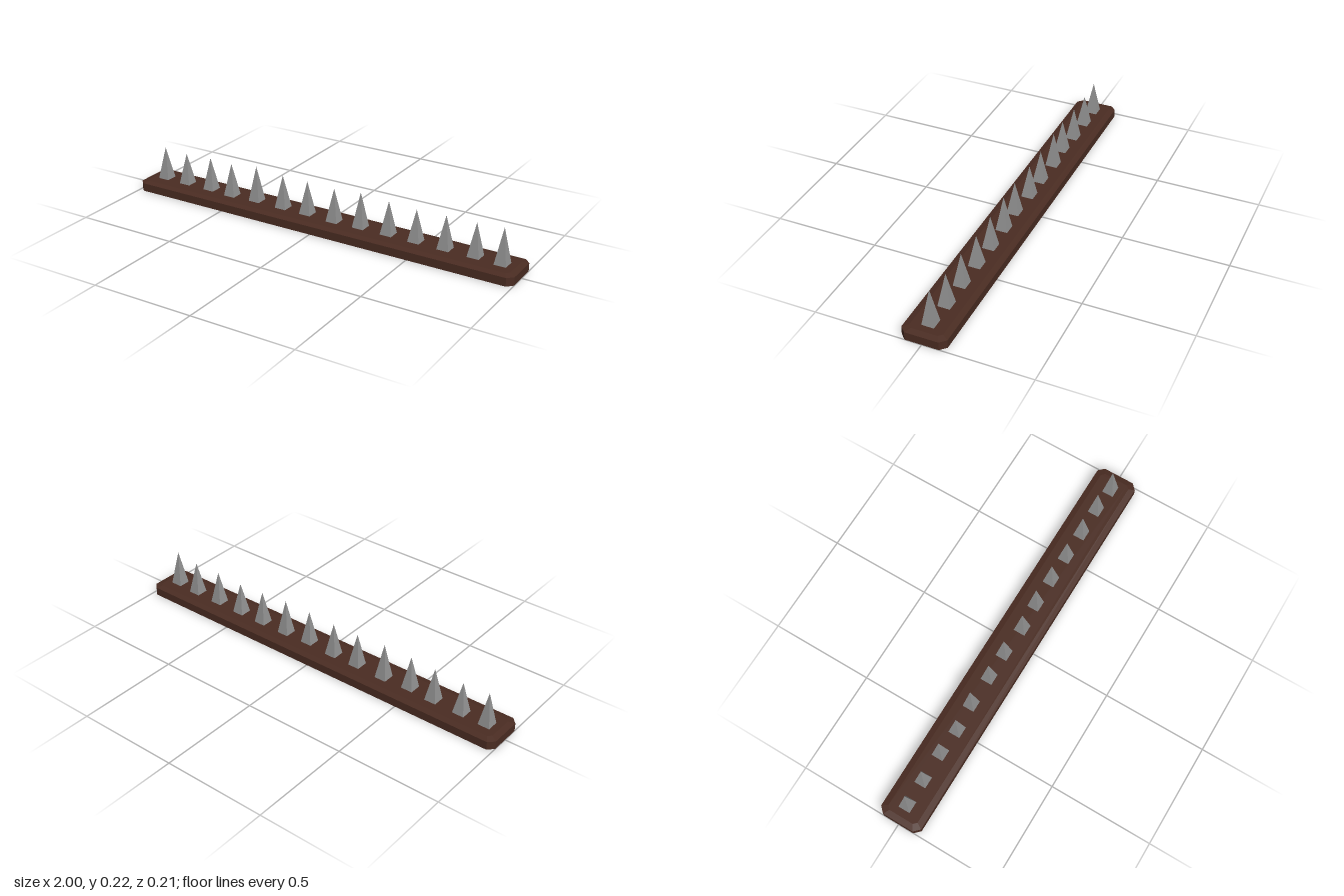
import * as THREE from 'three';

const wood = new THREE.MeshStandardMaterial({ color: 0x4a2c22, side: THREE.DoubleSide, flatShading: true });
wood.name = 'dark brown wood';
const metal = new THREE.MeshStandardMaterial({ color: 0x909090, side: THREE.DoubleSide, flatShading: true });
metal.name = 'grey metal';

// Octagonal outline: a rectangle with cut corners at height y
function ring(hx, hz, cut, y) {
  return [
    [hx, hz - cut], [hx, cut - hz], [hx - cut, -hz], [cut - hx, -hz],
    [-hx, cut - hz], [-hx, hz - cut], [cut - hx, hz], [hx - cut, hz],
  ].map(([x, z]) => [x, y, z]);
}

// Plank shell, open underneath: straight sides, bevelled rim, flat top
function plankGeometry() {
  const rings = [
    ring(1, 0.105, 0.027, 0),
    ring(1, 0.105, 0.027, 0.04),
    ring(0.972, 0.077, 0.016, 0.047),
  ];
  const pos = [];
  const tri = (a, b, c) => pos.push(...a, ...b, ...c);
  for (let r = 0; r < 2; r++) {
    for (let i = 0; i < 8; i++) {
      const j = (i + 1) % 8;
      const [a, b, c, d] = [rings[r][i], rings[r][j], rings[r + 1][j], rings[r + 1][i]];
      tri(a, b, c);
      tri(a, c, d);
    }
  }
  const top = rings[2];
  for (let i = 1; i < 7; i++) tri(top[0], top[i], top[i + 1]);
  const geo = new THREE.BufferGeometry();
  geo.setAttribute('position', new THREE.Float32BufferAttribute(pos, 3));
  geo.computeVertexNormals();
  return geo;
}

// Each spike: x, z and tip height
const spikes = [
  [-0.91, -0.006, 0.207], [-0.78, -0.006, 0.2], [-0.635, -0.006, 0.207], [-0.505, 0.002, 0.207],
  [-0.367, -0.008, 0.219], [-0.215, -0.005, 0.207], [-0.08, -0.006, 0.207], [0.07, 0.002, 0.207],
  [0.206, -0.005, 0.217], [0.35, -0.006, 0.207], [0.49, -0.005, 0.2], [0.635, -0.004, 0.207],
  [0.78, -0.005, 0.207], [0.91, 0.002, 0.219],
];

export function createModel() {
  const model = new THREE.Group();
  model.name = 'spikeStrip';

  const plank = new THREE.Mesh(plankGeometry(), wood);
  plank.name = 'plank';
  model.add(plank);

  // Row of square pyramids standing on the plank
  const base = 0.046;
  const pyramid = new THREE.ConeGeometry(0.029 * Math.SQRT2, 1, 4, 1, true);
  pyramid.rotateY(Math.PI / 4).translate(0, 0.5, 0);
  spikes.forEach(([x, z, tip], i) => {
    const spike = new THREE.Mesh(pyramid, metal);
    spike.name = `spike${i + 1}`;
    spike.position.set(x, base, z);
    spike.scale.y = tip - base;
    model.add(spike);
  });
  return model;
}
